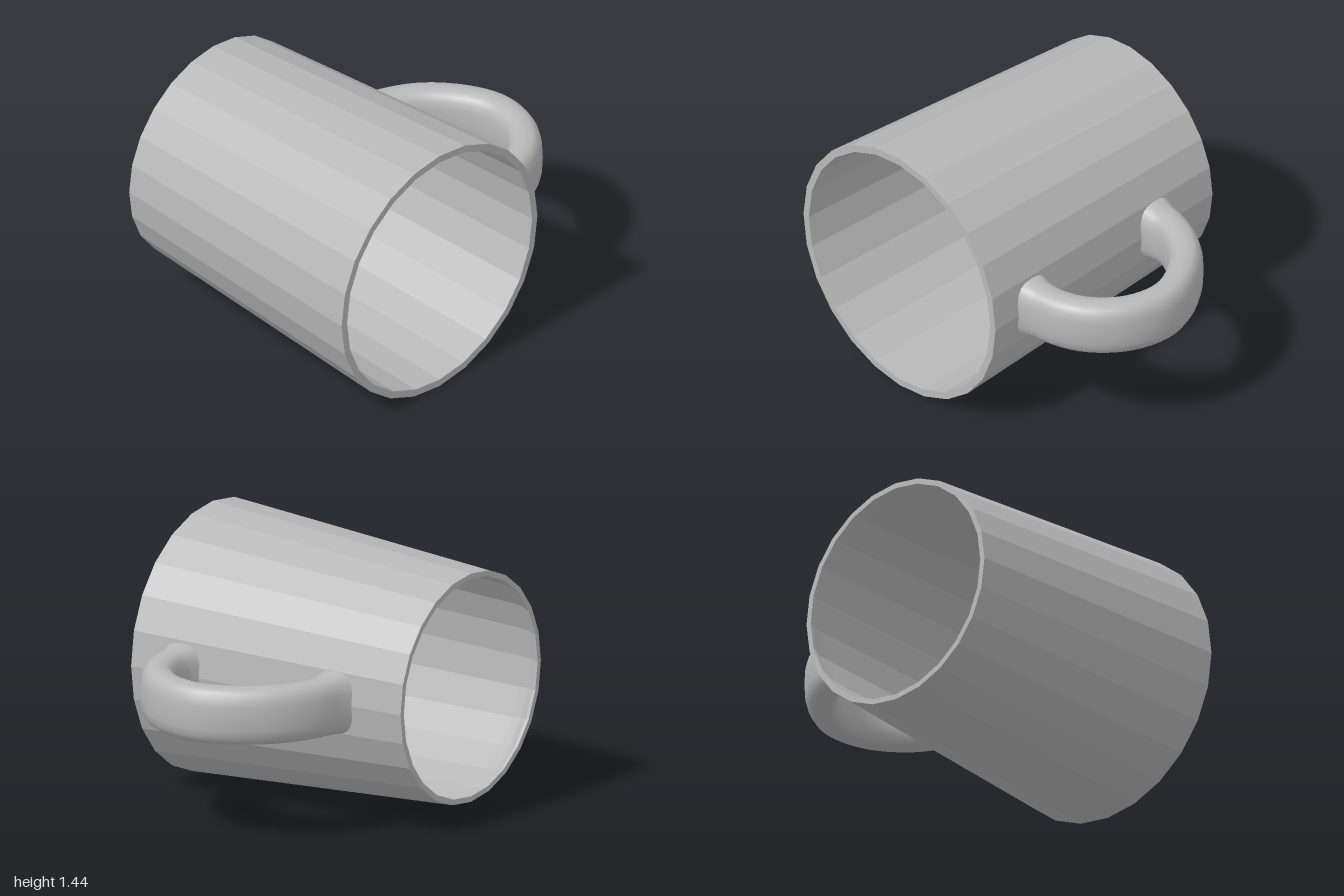
import * as THREE from 'three';

const CX = -0.28, CY = 0.72; // axis of the cup

// Outer wall radius at depth z
const wallRadius = (z) => 0.668 + 0.0624 * z;

function cupGeometry() {
  // Closed profile: outer wall, front rim, inner wall, rounded lip at the back
  const profile = [
    [0.617, -0.825], [0.72, 0.825], [0.68, 0.825], [0.615, -0.7],
    [0.609, -0.76], [0.6, -0.79], [0.588, -0.805], [0.588, -0.825], [0.617, -0.825],
  ].map(([r, z]) => new THREE.Vector2(r, z));
  const geo = new THREE.LatheGeometry(profile, 24).rotateX(Math.PI / 2).toNonIndexed();
  geo.computeVertexNormals(); // faceted
  return geo.translate(CX, CY, 0);
}

function handleGeometry() {
  const path = new THREE.CatmullRomCurve3([
    [0.36, -0.405], [0.5, -0.39], [0.7, -0.285], [0.85, -0.1], [0.908, 0.08],
    [0.865, 0.28], [0.73, 0.44], [0.58, 0.51], [0.415, 0.53],
  ].map(([x, z]) => new THREE.Vector3(x, CY, z)));
  const rings = 36, sides = 20;
  const soft = (v) => Math.sign(v) * Math.pow(Math.abs(v), 0.72);
  const pos = [], index = [];
  for (let i = 0; i <= rings; i++) {
    const u = i / rings;
    const p = path.getPointAt(u), t = path.getTangentAt(u);
    // Small flare where the handle meets the wall
    const flare = 0.03 * Math.exp(-Math.min(u, 1 - u) * 45);
    for (let j = 0; j < sides; j++) {
      const a = (j / sides) * Math.PI * 2;
      const n = soft(Math.cos(a)) * (0.093 + flare);
      const h = soft(Math.sin(a)) * (0.153 + flare * 0.5);
      let x = p.x + t.z * n;
      const z = p.z - t.x * n;
      // End rings follow the curve of the wall
      if (i === 0 || i === rings) x = CX + Math.sqrt((wallRadius(z) - 0.008) ** 2 - h * h);
      pos.push(x, CY + h, z);
      if (i < rings) {
        const k = (j + 1) % sides;
        const A = i * sides + j, B = i * sides + k;
        index.push(A, B, B + sides, A, B + sides, A + sides);
      }
    }
  }
  const geo = new THREE.BufferGeometry();
  geo.setAttribute('position', new THREE.Float32BufferAttribute(pos, 3));
  geo.setIndex(index);
  geo.computeVertexNormals();
  return geo;
}

export function createModel() {
  const grey = new THREE.MeshStandardMaterial({ color: 0xb8b8b8 });
  grey.name = 'grey';
  const group = new THREE.Group();
  group.name = 'mug';
  const add = (name, geo) => {
    const mesh = new THREE.Mesh(geo, grey);
    mesh.name = name;
    group.add(mesh);
  };
  add('cupWall', cupGeometry());
  add('handle', handleGeometry());
  return group;
}
